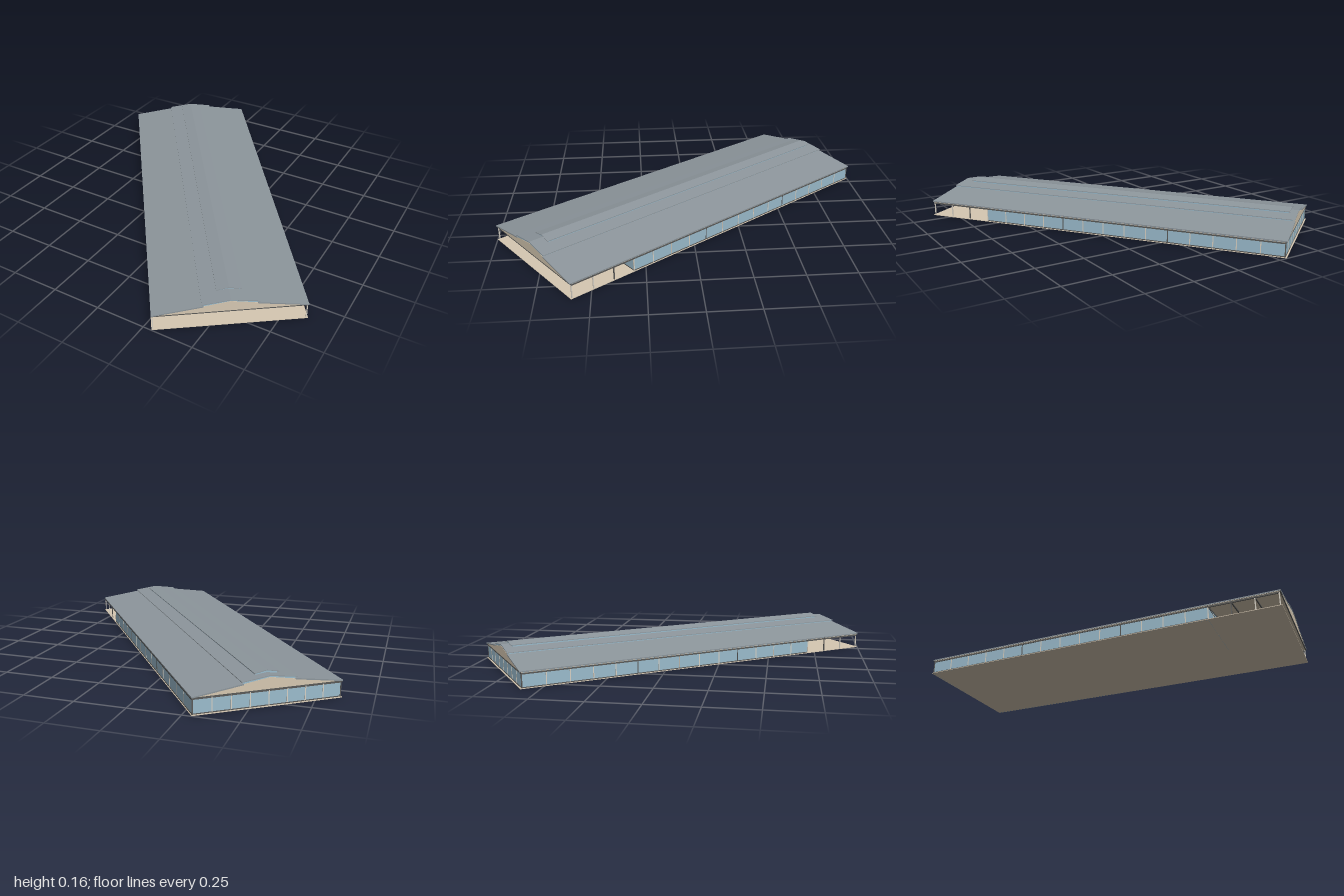
import * as THREE from 'three';

const HALF_W = 0.35, HALF_L = 0.981, POST_L = 0.972, EAVE = 0.074;
const BAYS = 17, BAY = (2 * POST_L) / BAYS;
const PORCH = POST_L - 3 * BAY; // the last three bays are an open porch

const mat = (color) => new THREE.MeshStandardMaterial({ color, side: THREE.DoubleSide, flatShading: true });

export function createModel() {
  const roofMat = mat(0x8d969c), glassMat = mat(0x9bbccd), beigeMat = mat(0xd6c8b2);
  const darkMat = mat(0x5a5a58), postMat = mat(0xd8d2c6);

  const hall = new THREE.Group();
  hall.name = 'hall';
  hall.rotation.y = Math.PI / 5; // the hall stands diagonally on its plot

  const add = (name, geometry, material, x = 0, y = 0, z = 0) => {
    const mesh = new THREE.Mesh(geometry, material);
    mesh.name = name;
    mesh.position.set(x, y, z);
    hall.add(mesh);
    return mesh;
  };
  const box = (name, w, h, d, material, x, y, z) =>
    add(name, new THREE.BoxGeometry(w, h, d), material, x, y, z);

  // cross-section polygon swept along the hall from z0 to z1
  const sweep = (name, points, z0, z1, material) => {
    const shape = new THREE.Shape(points.map(([x, y]) => new THREE.Vector2(x, y)));
    const geometry = new THREE.ExtrudeGeometry(shape, { depth: z1 - z0, bevelEnabled: false });
    return add(name, geometry, material, 0, 0, z0);
  };
  // sloping slab between two cross-section points
  const slab = (name, [x0, y0], [x1, y1], t, z0, z1, material) =>
    sweep(name, [[x0, y0], [x1, y1], [x1, y1 - t], [x0, y0 - t]], z0, z1, material);

  // floor
  box('floor', 2 * HALF_W, 0.003, 2 * HALF_L, beigeMat, 0, 0.0015, 0);

  const wallLength = PORCH + POST_L, wallMid = (PORCH - POST_L) / 2;
  for (const s of [-1, 1]) {
    // long glazed wall with its rails
    const wx = s * (HALF_W - 0.006);
    box('sideGlass', 0.002, EAVE, wallLength, glassMat, wx, EAVE / 2, wallMid);
    box('sideSill', 0.005, 0.005, wallLength, darkMat, wx, 0.005, wallMid);
    box('eaveBeam', 0.006, 0.007, 2 * POST_L, darkMat, wx, EAVE - 0.004, 0);

    // posts, continuing along the open porch
    for (let i = 0; i <= BAYS; i++) {
      box('sidePost', 0.005, EAVE, 0.005, i % 5 ? postMat : darkMat, wx, EAVE / 2, -POST_L + i * BAY);
    }

    // lower roof, its ceiling and the step up to the middle roof
    slab('lowerRoof', [s * HALF_W, 0.083], [s * 0.12, 0.116], 0.006, -HALF_L, HALF_L, roofMat);
    slab('ceiling', [s * (HALF_W - 0.002), 0.077], [0, 0.127], 0.002, -HALF_L + 0.004, HALF_L - 0.004, beigeMat);
    box('clerestoryGlass', 0.002, 0.012, 2 * POST_L, glassMat, s * 0.12, 0.117, 0);

    // middle roof
    slab('middleRoof', [s * 0.128, 0.124], [0, 0.141], 0.003, -HALF_L, HALF_L, roofMat);

    // ridge lantern
    box('lanternGlass', 0.002, 0.012, 1.84, glassMat, s * 0.05, 0.136, -0.016);
    slab('lanternRoof', [s * 0.057, 0.144], [0, 0.155], 0.003, -0.946, 0.914, roofMat);

    // porch rafters
    for (let i = 0; i < 3; i++) {
      const z = PORCH + i * BAY;
      slab('porchRafter', [s * HALF_W, 0.0765], [0, 0.126], 0.008, z - 0.003, z + 0.003, darkMat);
    }
  }

  for (const s of [-1, 1]) {
    // solid gables, with a glazed strip below the middle roof
    const z = s * (HALF_L - 0.004);
    sweep('gable', [[-HALF_W, 0.077], [HALF_W, 0.077], [0, 0.133]], z - 0.002, z + 0.002, beigeMat);
    sweep('gableGlass', [[-0.12, 0.113], [0, 0.131], [0.12, 0.113], [0.12, 0.122], [0, 0.138], [-0.12, 0.122]],
      z - 0.001, z + 0.001, glassMat);
    box('gableBeam', 2 * HALF_W, 0.005, 0.005, darkMat, 0, 0.0775, z);
    // lantern ends
    const lz = -0.016 + s * 0.92;
    sweep('lanternEnd', [[-0.05, 0.13], [0.05, 0.13], [0.05, 0.142], [0, 0.152], [-0.05, 0.142]],
      lz - 0.001, lz + 0.001, glassMat);
  }

  // glazed end walls: back of the hall, and behind the porch
  for (const z of [-POST_L, PORCH]) {
    const w = 2 * (HALF_W - 0.006);
    box('endGlass', w, EAVE, 0.002, glassMat, 0, EAVE / 2, z);
    box('endSill', w, 0.005, 0.005, darkMat, 0, 0.005, z);
    box('endHead', w, 0.005, 0.005, darkMat, 0, EAVE - 0.003, z);
    for (let i = 1; i < 8; i++) {
      box('endPost', 0.005, EAVE, 0.005, postMat, -w / 2 + (i * w) / 8, EAVE / 2, z);
    }
  }
  // glazing above the porch wall, up to the roof
  sweep('porchWallTop', [[-0.34, EAVE], [0.34, EAVE], [0, 0.124]], PORCH - 0.001, PORCH + 0.001, glassMat);

  const model = new THREE.Group();
  model.name = 'longHall';
  model.add(hall);
  return model;
}
